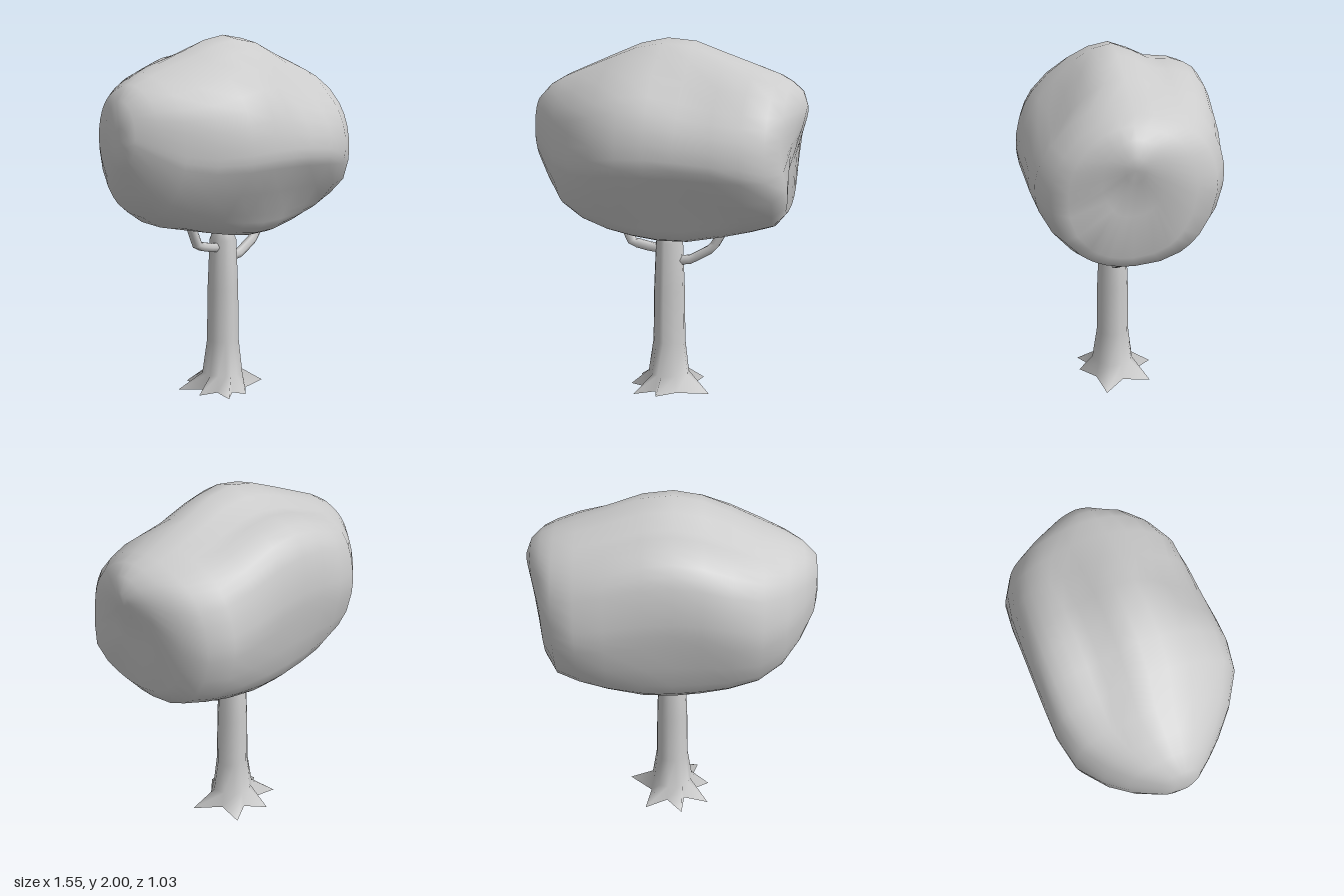
import * as THREE from 'three';
import { mergeVertices } from 'three/addons/utils/BufferGeometryUtils.js';

const V = (x, y, z) => new THREE.Vector3(x, y, z);
const material = new THREE.MeshStandardMaterial({ color: 0xcccccc });

// Skin a list of closed rings (equal point counts) into one smooth surface
function loft(rings) {
  const n = rings[0].length, index = [];
  for (let i = 0; i < rings.length - 1; i++) {
    for (let j = 0; j < n; j++) {
      const a = i * n + j, b = i * n + (j + 1) % n;
      index.push(a, a + n, b, b, a + n, b + n);
    }
  }
  const raw = new THREE.BufferGeometry().setFromPoints(rings.flat());
  raw.setIndex(index);
  const geometry = mergeVertices(raw);
  geometry.computeVertexNormals();
  return geometry;
}

function addMesh(group, name, geometry) {
  const mesh = new THREE.Mesh(geometry, material);
  mesh.name = name;
  group.add(mesh);
}

// A ring with every point at its centre closes an end
function collapsed(ring) {
  const c = ring.reduce((s, p) => s.add(p), V(0, 0, 0)).divideScalar(ring.length);
  return ring.map(() => c.clone());
}

// Soft hollows (positive depth) and bulges (negative): centre, direction, depth, radius
const dents = [
  [V(0.22, 1.74, 0.38), V(0.1, 0.45, 0.85), 0.09, 0.25],
  [V(0.74, 1.37, 0), V(1, 0, 0), 0.075, 0.19],
  [V(0.25, 1.12, 0.45), V(0, -0.3, 0.9), 0.04, 0.2],
  [V(-0.58, 1.45, 0.3), V(-0.6, 0, 0.7), 0.02, 0.2],
  [V(0.66, 1.2, 0.28), V(0.8, 0, 0.4), -0.05, 0.14],
];

function canopyGeometry() {
  // Cross-section outline as z, y, starting at the crown and running to the back
  const outline = new THREE.CatmullRomCurve3([
    [0, 2], [-0.2, 1.91], [-0.33, 1.9], [-0.44, 1.85], [-0.5, 1.75], [-0.52, 1.55],
    [-0.5, 1.4], [-0.43, 1.1], [-0.32, 0.95], [0, 0.93], [0.19, 0.905], [0.28, 0.95],
    [0.33, 1.03], [0.5, 1.3], [0.52, 1.4], [0.5, 1.57], [0.43, 1.73], [0.22, 1.92],
  ].map(([z, y]) => V(0, (y - 1.4525) / 0.5475, z / 0.52)), true).getPoints(36).slice(0, -1);
  // x, top, bottom, front, back
  const sections = [
    [-0.77, 1.52, 1.38, 0.05, -0.06], [-0.755, 1.66, 1.31, 0.09, -0.13],
    [-0.68, 1.74, 1.17, 0.19, -0.27], [-0.59, 1.79, 1.04, 0.29, -0.37],
    [-0.46, 1.845, 0.97, 0.395, -0.475], [-0.3, 1.91, 0.94, 0.485, -0.515],
    [-0.15, 1.97, 0.92, 0.51, -0.52], [0, 2, 0.905, 0.515, -0.52],
    [0.16, 1.985, 0.905, 0.515, -0.52], [0.35, 1.915, 0.93, 0.505, -0.52],
    [0.5, 1.86, 0.955, 0.48, -0.505], [0.62, 1.815, 0.99, 0.41, -0.44],
    [0.69, 1.78, 1.07, 0.33, -0.32], [0.75, 1.73, 1.3, 0.17, -0.16],
    [0.785, 1.65, 1.5, 0.06, -0.04],
  ];
  // Sections grow rounder towards both ends
  const rings = sections.map(([x, top, bottom, front, back]) => outline.map((p) => {
    const q = p.clone().lerp(p.clone().normalize(), Math.min(0.85, (x / 0.55) ** 2));
    return V(
      x,
      (top + bottom) / 2 + q.y * (top - bottom) / 2,
      (front + back) / 2 + q.z * (front - back) / 2);
  }));
  rings.unshift(collapsed(rings[0]));
  rings.push(collapsed(rings[rings.length - 1]));
  for (const p of rings.flat()) {
    const start = p.clone();
    for (const [centre, direction, depth, radius] of dents) {
      const fall = Math.exp(-start.distanceToSquared(centre) / radius ** 2);
      p.addScaledVector(direction, -depth * fall);
    }
  }
  return loft(rings);
}

// Root tips: angle in degrees, reach
const roots = [[17, 0.265], [98, 0.2], [130, 0.25], [174, 0.225], [214, 0.26], [256, 0.24], [309, 0.25]];

// Ring with one column per root tip and one per valley between tips
function trunkRing(y, valley, tip) {
  return roots.flatMap(([angle, reach], i) => {
    const next = i + 1 < roots.length ? roots[i + 1][0] : roots[0][0] + 360;
    return [[angle, tip ?? reach], [(angle + next) / 2, valley]].map(([deg, r]) => {
      const t = THREE.MathUtils.degToRad(deg);
      return V(0.007 + r * Math.cos(t), y, -0.009 + r * Math.sin(t));
    });
  });
}

// Branch: a six-sided limb with angular bends
function branchGeometry(points) {
  const path = new THREE.CatmullRomCurve3(
    points.map(([x, y]) => V(x, y, 0)), false, 'catmullrom', 0.1);
  return new THREE.TubeGeometry(path, 9, 0.028, 6, false);
}

export function createModel() {
  const tree = new THREE.Group();
  tree.name = 'tree';

  addMesh(tree, 'canopy', canopyGeometry());

  const base = trunkRing(0, 0.13);
  const top = trunkRing(0.96, 0.03, 0.03);
  addMesh(tree, 'trunk', loft([
    base,
    trunkRing(0.09, 0.112, 0.122),
    trunkRing(0.28, 0.091, 0.094),
    trunkRing(0.58, 0.087, 0.09),
    trunkRing(0.86, 0.076, 0.078),
    trunkRing(0.93, 0.048, 0.048),
    top,
    collapsed(top),
  ]));
  addMesh(tree, 'trunkBase', loft([collapsed(base), base]));

  addMesh(tree, 'leftBranch', branchGeometry([[0.04, 0.755], [0.13, 0.765], [0.26, 0.84], [0.34, 0.98]]));
  addMesh(tree, 'rightBranch', branchGeometry([[-0.04, 0.82], [-0.1, 0.825], [-0.21, 0.85], [-0.27, 0.98]]));
  return tree;
}
